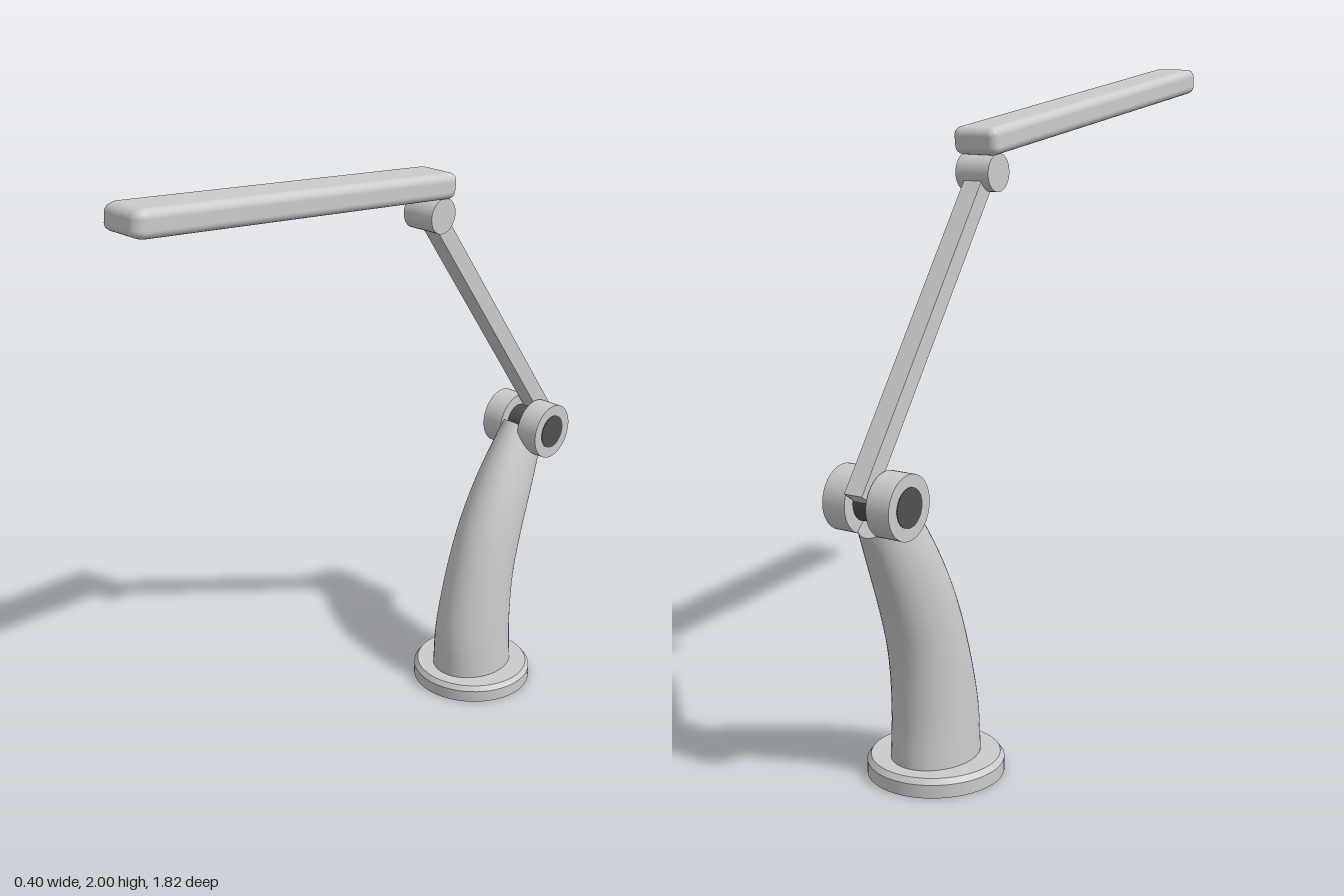
import * as THREE from 'three';
import { toCreasedNormals } from 'three/addons/utils/BufferGeometryUtils.js';
import { RoundedBoxGeometry } from 'three/addons/geometries/RoundedBoxGeometry.js';

const grey = new THREE.MeshStandardMaterial({ color: 0xcccccc });
const dark = new THREE.MeshStandardMaterial({ color: 0x505050 });

function add(group, name, geometry, x, y, z, material = grey) {
  const mesh = new THREE.Mesh(geometry, material);
  mesh.name = name;
  mesh.position.set(x, y, z);
  group.add(mesh);
  return mesh;
}

// Cylinder lying along x
const crossCylinder = (radius, length) =>
  new THREE.CylinderGeometry(radius, radius, length, 40).rotateZ(Math.PI / 2);

// Curved stand: elliptical rings spanning a front edge curve and a back edge curve
function standGeometry() {
  const curve = (pts) => new THREE.CatmullRomCurve3(pts.map((p) => new THREE.Vector3(...p)));
  // x holds the half width on the front curve
  const front = curve([[0.125, 0.05, -0.403], [0.118, 0.2, -0.408], [0.108, 0.41, -0.455],
    [0.1, 0.57, -0.51], [0.088, 0.74, -0.6], [0.065, 0.915, -0.72]]);
  const back = curve([[0, 0.05, -0.697], [0, 0.2, -0.693], [0, 0.38, -0.71],
    [0, 0.53, -0.755], [0, 0.66, -0.805], [0, 0.79, -0.86]]);
  const sides = 40, steps = 24, pos = [], index = [];
  const ring = (t, scale) => {
    const f = front.getPoint(t), b = back.getPoint(t);
    for (let j = 0; j < sides; j++) {
      const a = (j / sides) * Math.PI * 2, c = Math.cos(a) * scale, s = Math.sin(a) * scale;
      pos.push(f.x * c, (f.y + b.y) / 2 + (f.y - b.y) / 2 * s, (f.z + b.z) / 2 + (f.z - b.z) / 2 * s);
    }
  };
  ring(0, 0);
  for (let i = 0; i <= steps; i++) ring(i / steps, 1);
  ring(1, 0);
  for (let i = 0; i < steps + 2; i++) {
    for (let j = 0; j < sides; j++) {
      const k = (j + 1) % sides, p = i * sides, q = p + sides;
      if (i <= steps) index.push(p + j, q + j, q + k);
      if (i > 0) index.push(p + j, q + k, p + k);
    }
  }
  const g = new THREE.BufferGeometry();
  g.setAttribute('position', new THREE.Float32BufferAttribute(pos, 3));
  g.setIndex(index);
  return toCreasedNormals(g, 0.7);
}

export function createModel() {
  const lamp = new THREE.Group();
  lamp.name = 'deskLamp';

  // Round foot with a small bevel
  const profile = [[0, 0], [0.202, 0], [0.202, 0.04], [0.19, 0.056], [0, 0.056]]
    .map((p) => new THREE.Vector2(...p));
  add(lamp, 'base', toCreasedNormals(new THREE.LatheGeometry(profile, 56), 0.4), 0, 0, -0.55);
  add(lamp, 'stand', standGeometry(), 0, 0, 0);

  // Elbow joint: two discs on a dark axle
  for (const side of [-1, 1]) {
    add(lamp, side > 0 ? 'leftElbowDisc' : 'rightElbowDisc', crossCylinder(0.093, 0.076),
      side * 0.074, 0.88, -0.81);
  }
  add(lamp, 'elbowAxle', crossCylinder(0.057, 0.228), 0, 0.88, -0.81, dark);

  // Straight arm from the elbow to the head hinge
  const low = new THREE.Vector3(0, 0.905, -0.887), high = new THREE.Vector3(0, 1.735, -0.285);
  const mid = low.clone().add(high).multiplyScalar(0.5);
  const arm = add(lamp, 'arm', new THREE.BoxGeometry(0.06, low.distanceTo(high), 0.056), 0, mid.y, mid.z);
  arm.rotation.x = Math.atan2(high.z - low.z, high.y - low.y);

  add(lamp, 'headHinge', crossCylinder(0.055, 0.112), 0, 1.735, -0.285);

  // Long head, its front tip drawn in slightly
  const headGeometry = new RoundedBoxGeometry(0.15, 0.08, 1.25, 5, 0.025);
  const p = headGeometry.attributes.position;
  for (let i = 0; i < p.count; i++) {
    const t = (p.getZ(i) - 0.6) / 0.025;
    if (t > 0) {
      p.setX(i, p.getX(i) * (1 - 0.06 * t));
      p.setZ(i, p.getZ(i) + 0.02 * (t - 1));
    }
  }
  const head = add(lamp, 'head', headGeometry, 0, 1.893, 0.29);
  head.rotation.x = -0.114;

  return lamp;
}
